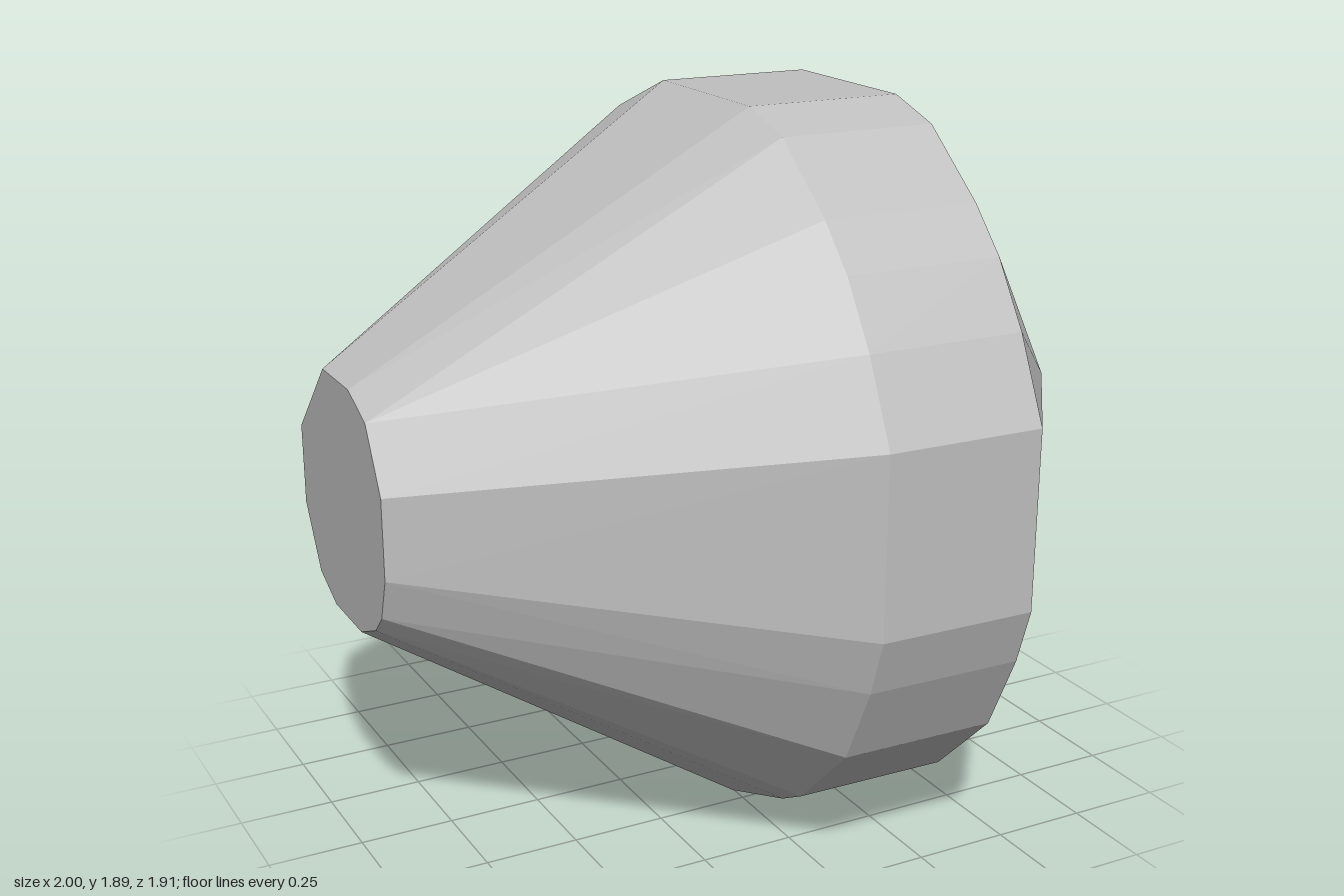
import * as THREE from 'three';
import { ConvexGeometry } from 'three/addons/geometries/ConvexGeometry.js';

export function createModel() {
  const group = new THREE.Group();
  const grey = new THREE.MeshStandardMaterial({ color: 0xc0c0c0 });
  grey.name = 'lightGrey';

  // Cross-sections are [z, y] pairs; the belt is repeated by a half turn.
  const halfBelt = [
    [0.27, 1.89], [0.435, 1.84], [0.64, 1.68], [0.745, 1.57],
    [0.85, 1.41], [0.95, 1.2], [0.945, 0.73], [0.895, 0.58],
    [0.79, 0.365], [0.575, 0.157], [0.48, 0.105], [0.205, 0],
  ];
  const belt = [...halfBelt, ...halfBelt.map(([z, y]) => [-z, 1.89 - y])];
  const wideEnd = [
    [-0.12, 1.26], [0.08, 1.26], [0.2, 1.21], [0.29, 1.05], [0.29, 0.84],
    [0.25, 0.73], [0.2, 0.68], [0.08, 0.63], [-0.12, 0.63], [-0.24, 0.68],
    [-0.34, 0.84], [-0.34, 1.05],
  ];
  const narrowEnd = [
    [0.115, 1.105], [-0.04, 1.105], [-0.04, 0.79],
    [0.115, 0.79], [0.175, 0.845], [0.175, 1.05],
  ];

  // Each section is turned slightly about the vertical axis.
  const section = (points, x, shift = 0) =>
    points.map(([z, y]) => new THREE.Vector3(x - 0.014 * z, y, z + shift));

  // Faceted body: two tapering ends joined by a belt
  const body = new THREE.Mesh(new ConvexGeometry([
    ...section(wideEnd, -0.995),
    ...section(belt, 0, -0.003),
    ...section(belt, 0.42, 0.004),
    ...section(narrowEnd, 0.999),
  ]), grey);
  body.name = 'facetedBody';
  group.add(body);
  return group;
}
